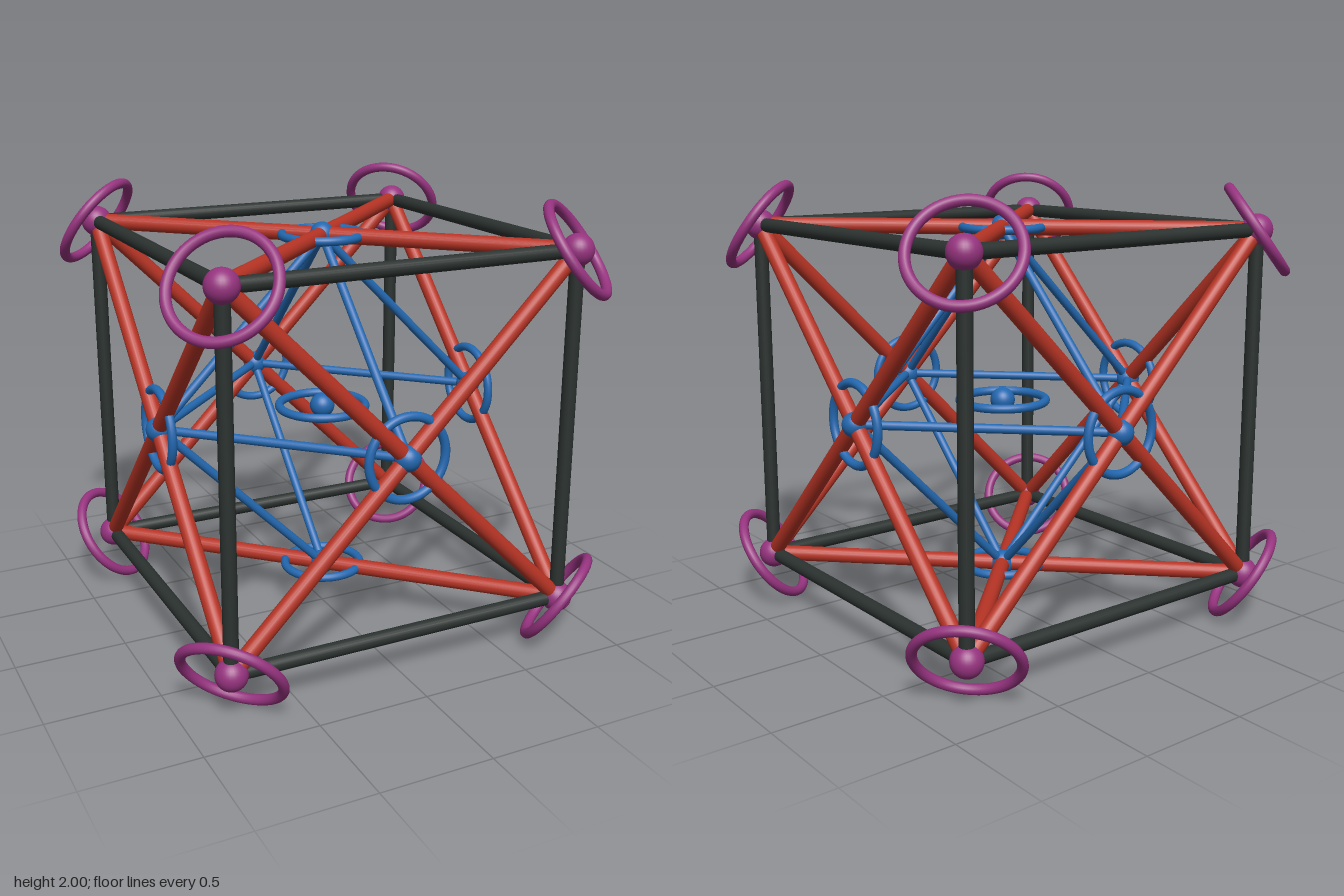
import * as THREE from 'three';

const C = 0.797; // half the cube's edge
const material = (color) => new THREE.MeshStandardMaterial({ color });

export function createModel() {
  const model = new THREE.Group();
  const black = material(0x2b322f), red = material(0xb83425);
  const blue = material(0x2368b0), purple = material(0x96337f);

  const add = (name, geometry, mat, position) => {
    const mesh = new THREE.Mesh(geometry, mat);
    mesh.name = name;
    mesh.position.copy(position);
    model.add(mesh);
    return mesh;
  };
  const rod = (name, a, b, radius, mat) => {
    const dir = b.clone().sub(a);
    const geometry = new THREE.CylinderGeometry(radius, radius, dir.length(), 20);
    const mesh = add(name, geometry, mat, a.clone().add(b).multiplyScalar(0.5));
    mesh.quaternion.setFromUnitVectors(new THREE.Vector3(0, 1, 0), dir.normalize());
  };
  const ball = (name, p, radius, mat) => add(name, new THREE.SphereGeometry(radius, 28, 18), mat, p);
  const ring = (name, p, normal, radius, tube, mat) => {
    const mesh = add(name, new THREE.TorusGeometry(radius, tube, 14, 64), mat, p);
    mesh.quaternion.setFromUnitVectors(new THREE.Vector3(0, 0, 1), normal.clone().normalize());
  };

  // Cube corners and face centres
  const corners = [], faces = [];
  for (const x of [-C, C]) for (const y of [-C, C]) for (const z of [-C, C]) {
    corners.push(new THREE.Vector3(x, y, z));
  }
  for (const s of [-C, C]) {
    faces.push(new THREE.Vector3(s, 0, 0), new THREE.Vector3(0, s, 0), new THREE.Vector3(0, 0, s));
  }

  // Corner pairs: cube edges and face diagonals
  corners.forEach((a, i) => corners.slice(i + 1).forEach((b) => {
    const ratio = a.distanceTo(b) / (2 * C);
    if (ratio < 1.1) rod('cubeEdge', a, b, 0.032, black);
    else if (ratio < 1.5) rod('faceDiagonal', a, b, 0.036, red);
  }));

  // Octahedron joining neighbouring face centres
  faces.forEach((a, i) => faces.slice(i + 1).forEach((b) => {
    if (a.distanceTo(b) < 1.5 * C) rod('octahedronEdge', a, b, 0.02, blue);
  }));

  // Balls and rings at corners, faces and the middle
  for (const p of corners) {
    ball('cornerBall', p, 0.07, purple);
    ring('cornerRing', p, p, 0.22, 0.023, purple);
  }
  for (const p of faces) {
    ball('faceBall', p, 0.057, blue);
    ring('faceRing', p, p, 0.18, 0.02, blue);
  }
  const middle = new THREE.Vector3();
  ball('centreBall', middle, 0.057, blue);
  ring('centreRing', middle, new THREE.Vector3(0, 1, 0), 0.2, 0.02, blue);

  // Stand on the ground
  for (const part of model.children) part.position.y += 1;
  return model;
}
